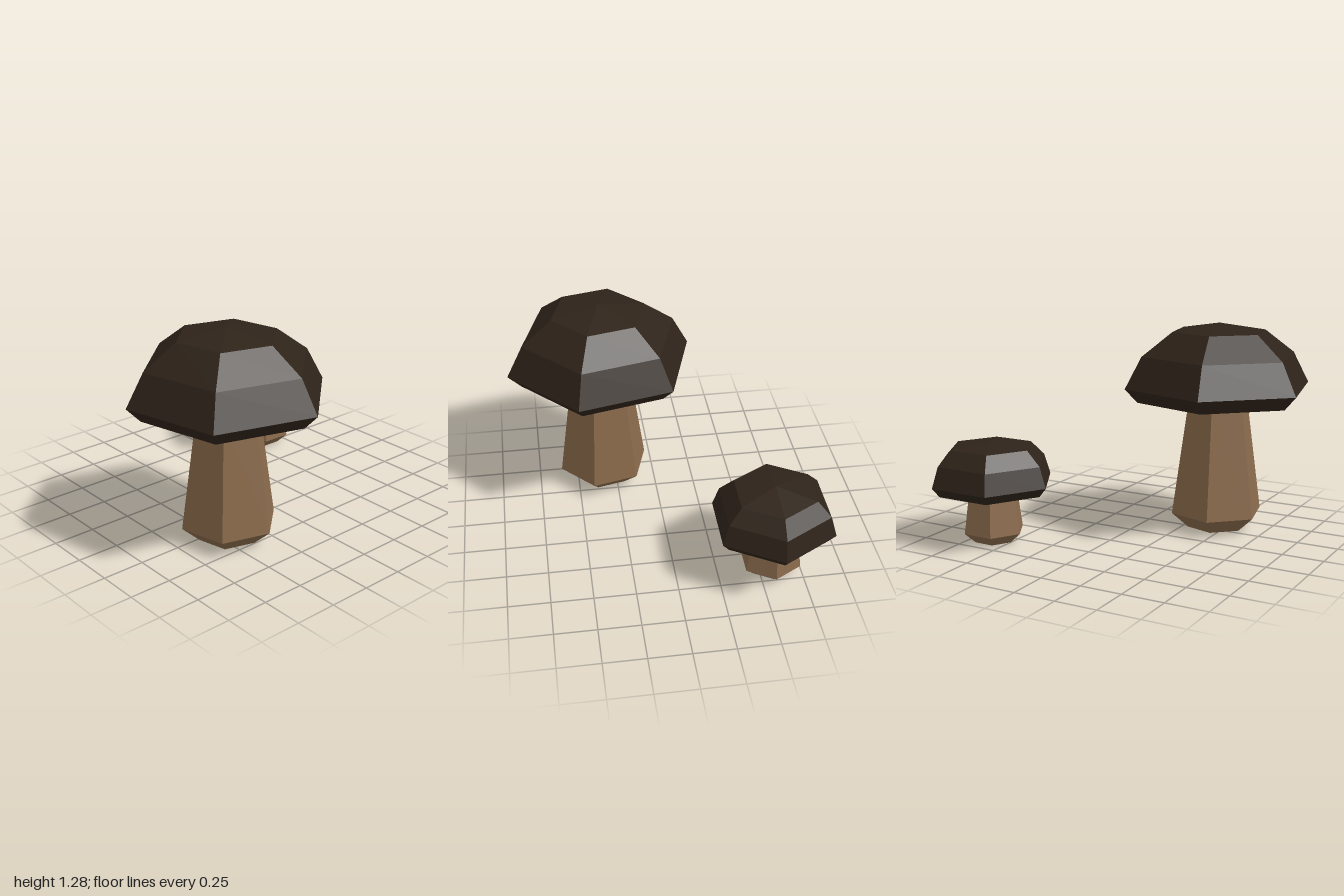
import * as THREE from 'three';

const SIDES = 6;
const capMaterial = new THREE.MeshStandardMaterial({ color: 0x2e2319, flatShading: true });
const stemMaterial = new THREE.MeshStandardMaterial({ color: 0x8b6b4c, flatShading: true });

// Closed six-sided solid from a bottom-to-top [radius, height] profile
function facetedPart(name, profile, turn, material) {
  const points = profile.map(([r, y]) => new THREE.Vector2(r, y));
  const geometry = new THREE.LatheGeometry(points, SIDES, THREE.MathUtils.degToRad(turn));
  const mesh = new THREE.Mesh(geometry, material);
  mesh.name = name;
  return mesh;
}

function mushroom({ name, x, z, turn, stem, cap }) {
  const group = new THREE.Group();
  group.name = name;
  group.position.set(x, 0, z);
  group.add(facetedPart('stem', stem, turn, stemMaterial));
  group.add(facetedPart('cap', cap, turn, capMaterial));
  return group;
}

export function createModel() {
  const model = new THREE.Group();
  model.name = 'mushrooms';

  model.add(mushroom({
    name: 'largeMushroom', x: 0.327, z: 0.433, turn: 43,
    stem: [[0, 0.008], [0.184, 0.008], [0.289, 0.103], [0.185, 0.83], [0, 0.83]],
    cap: [[0, 0.808], [0.51, 0.808], [0.59, 0.893], [0.487, 1.085], [0.297, 1.228], [0, 1.278]],
  }));

  model.add(mushroom({
    name: 'smallMushroom', x: -0.573, z: -0.62, turn: -0.8,
    stem: [[0, 0], [0.12, 0], [0.188, 0.062], [0.15, 0.33], [0, 0.33]],
    cap: [[0, 0.31], [0.335, 0.31], [0.38, 0.365], [0.34, 0.49], [0.253, 0.578], [0, 0.612]],
  }));

  return model;
}
